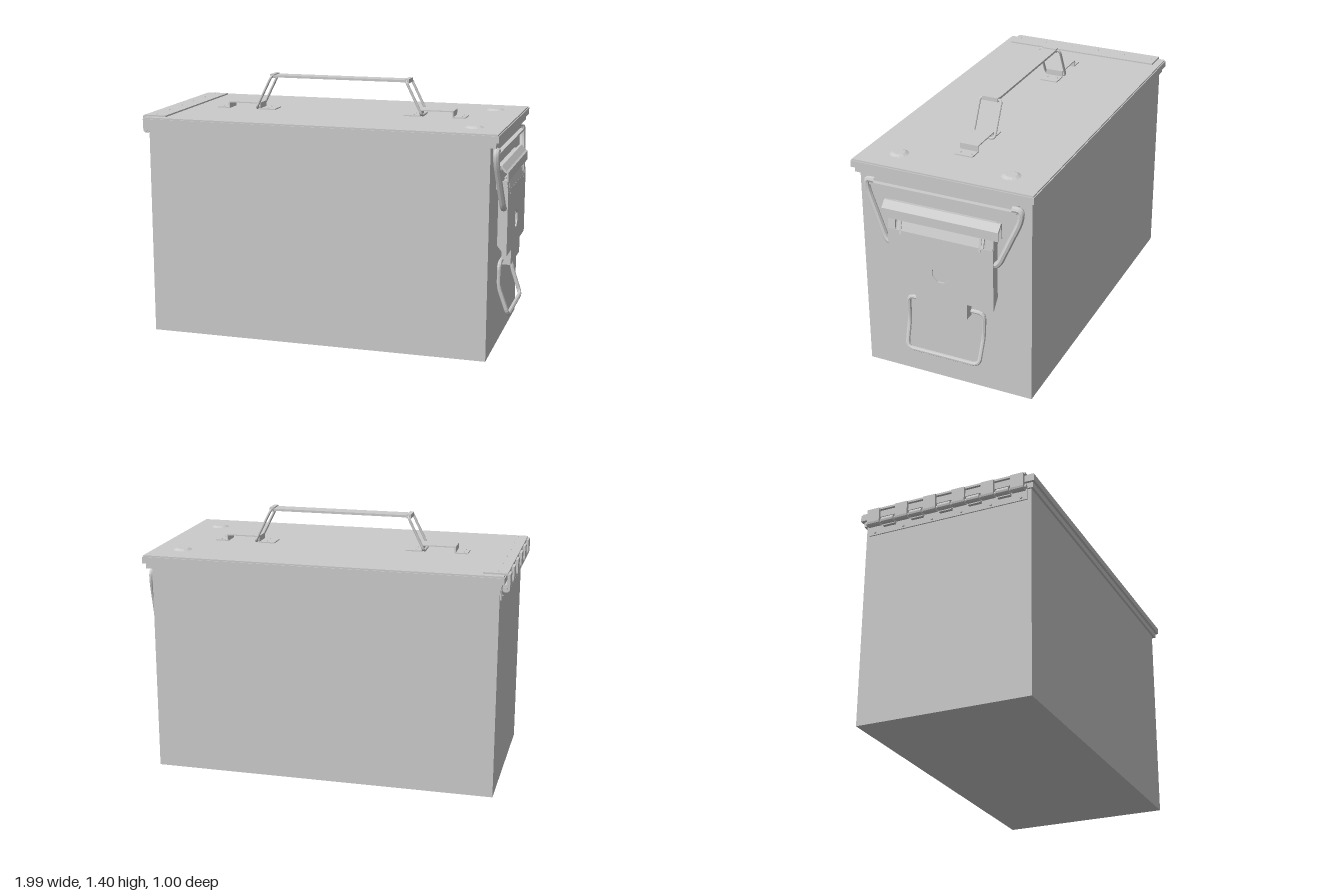
import * as THREE from 'three';

const metal = new THREE.MeshStandardMaterial({ color: 0xcccccc, flatShading: true, side: THREE.DoubleSide });
const V = (x, y, z) => new THREE.Vector3(x, y, z);

export function createModel() {
  const root = new THREE.Group();

  function add(name, geometry, parent = root) {
    const mesh = new THREE.Mesh(geometry, metal);
    mesh.name = name;
    parent.add(mesh);
    return mesh;
  }

  // box given by its limits on each axis
  function box(name, x0, x1, y0, y1, z0, z1, parent) {
    const g = new THREE.BoxGeometry(x1 - x0, y1 - y0, z1 - z0);
    g.translate((x0 + x1) / 2, (y0 + y1) / 2, (z0 + z1) / 2);
    return add(name, g, parent);
  }

  function polygon(points) {
    return new THREE.Shape(points.map(p => new THREE.Vector2(p[0], p[1])));
  }

  // x-y profile extruded across z, centred
  function across(name, points, width, parent) {
    const g = new THREE.ExtrudeGeometry(polygon(points), { depth: width, bevelEnabled: false });
    g.translate(0, 0, -width / 2);
    return add(name, g, parent);
  }

  // bent wire: straight runs with rounded corners
  function wire(name, pts, radius, corner, closed, parent) {
    const path = new THREE.CurvePath();
    const n = pts.length;
    const toward = (a, b) => a.clone().add(b.clone().sub(a).setLength(Math.min(corner, a.distanceTo(b) * 0.45)));
    let last = closed ? toward(pts[0], pts[1]) : pts[0];
    for (let i = 1; i < (closed ? n + 1 : n - 1); i++) {
      const p = pts[i % n], q = pts[(i + 1) % n];
      const a = toward(p, pts[i - 1]), b = toward(p, q);
      path.add(new THREE.LineCurve3(last, a));
      path.add(new THREE.QuadraticBezierCurve3(a, p, b));
      last = b;
    }
    if (!closed) path.add(new THREE.LineCurve3(last, pts[n - 1]));
    return add(name, new THREE.TubeGeometry(path, 110, radius, 8, closed), parent);
  }

  function rivet(x, y, z, axisX = false, parent = root) {
    const g = new THREE.CylinderGeometry(0.005, 0.008, 0.006, 8);
    if (axisX) g.rotateZ(Math.PI / 2);
    g.translate(x, y, z);
    return add('rivet', g, parent);
  }

  // can body
  box('body', -0.95, 0.915, 0, 1.15, -0.473, 0.473);

  // lid with stepped rim
  box('lidLip', -0.96, 0.945, 1.13, 1.165, -0.486, 0.486);
  box('lidRim', -0.975, 0.96, 1.16, 1.195, -0.5, 0.5);
  box('lidTop', -0.97, 0.955, 1.195, 1.203, -0.495, 0.495);
  for (const z of [-0.31, 0.31]) {
    const g = new THREE.CylinderGeometry(0.032, 0.052, 0.01, 12);
    g.translate(0.8, 1.207, z);
    add('lidDimple', g);
  }

  // hinge: top leaf, lower leaf, pin and alternating knuckles
  const hinge = new THREE.Group();
  hinge.name = 'hinge';
  root.add(hinge);
  box('hingeTopLeaf', -0.985, -0.86, 1.2, 1.211, -0.455, 0.455, hinge);
  box('hingeLowerLeaf', -0.957, -0.949, 1.07, 1.13, -0.455, 0.455, hinge);
  const pin = new THREE.CylinderGeometry(0.01, 0.01, 0.92, 8);
  pin.rotateX(Math.PI / 2).translate(-0.978, 1.13, 0);
  add('hingePin', pin, hinge);
  const count = 11, step = 0.91 / count;
  for (let i = 0; i < count; i++) {
    const z = -0.455 + (i + 0.5) * step, w = step * 0.43;
    const g = new THREE.CylinderGeometry(0.02, 0.02, w * 2, 12);
    g.rotateX(Math.PI / 2).translate(-0.978, 1.13, z);
    add('hingeKnuckle', g, hinge);
    if (i % 2 === 0) box('hingeTopStrap', -0.998, -0.982, 1.13, 1.205, z - w, z + w, hinge);
    else box('hingeLowerStrap', -0.975, -0.95, 1.105, 1.122, z - w, z + w, hinge);
  }
  for (let i = 0; i < 6; i++) {
    const z = -0.42 + i * 0.168;
    rivet(-0.93, 1.213, z, false, hinge);
    rivet(-0.959, 1.085, z, true, hinge);
  }

  // carrying handle, mirrored about its middle at x = -0.01
  const handle = new THREE.Group();
  handle.name = 'carryHandle';
  handle.position.x = -0.01;
  root.add(handle);
  box('handleGrip', -0.385, 0.385, 1.385, 1.397, -0.042, 0.042, handle);
  for (const s of [-1, 1]) {
    const profile = [
      [0.37, 1.203], [0.37, 1.209], [0.455, 1.209], [0.455, 1.241], [0.645, 1.241], [0.645, 1.209],
      [0.71, 1.209], [0.71, 1.203], [0.639, 1.203], [0.639, 1.235], [0.461, 1.235], [0.461, 1.203]
    ];
    across('handleBracket', profile.map(p => [p[0] * s, p[1]]), 0.1, handle);
    wire('handleLoop', [
      V(0.475 * s, 1.211, 0), V(0.475 * s, 1.211, 0.061), V(0.385 * s, 1.392, 0.061),
      V(0.385 * s, 1.392, -0.061), V(0.475 * s, 1.211, -0.061)
    ], 0.007, 0.022, true, handle);
    box('gripEnd', 0.385 * s - 0.012, 0.385 * s + 0.012, 1.381, 1.403, -0.044, 0.044, handle);
    for (const z of [-0.03, 0.03]) for (const x of [0.42, 0.685]) rivet(x * s, 1.211, z, false, handle);
  }

  // latch on the +x end
  const latch = new THREE.Group();
  latch.name = 'latch';
  root.add(latch);

  // upper bail: flat bar on top and sloping arms
  box('bailBar', 0.918, 0.95, 1.078, 1.09, -0.405, 0.405, latch);
  box('bailBarBack', 0.915, 0.925, 1.085, 1.12, -0.405, 0.405, latch);
  for (const s of [-1, 1]) {
    wire('bailArm', [
      V(0.936, 1.1, 0.38 * s), V(0.936, 1.1, 0.428 * s), V(0.938, 1.04, 0.422 * s),
      V(0.96, 0.785, 0.312 * s), V(0.96, 0.782, 0.27 * s)
    ], 0.017, 0.04, false, latch);
  }

  // lever plate with a round hole and a narrow lower tab
  const face = polygon([
    [-0.293, 0.525], [-0.145, 0.525], [-0.145, 0.44], [0.145, 0.44], [0.145, 0.525], [0.293, 0.525],
    [0.293, 0.87], [-0.293, 0.87]
  ]);
  const hole = new THREE.Path();
  for (let i = 0; i < 8; i++) {
    const a = (i + 0.5) * Math.PI / 4, x = Math.cos(a) * 0.05, y = 0.665 + Math.sin(a) * 0.05;
    i ? hole.lineTo(x, y) : hole.moveTo(x, y);
  }
  hole.closePath();
  face.holes.push(hole);
  const plate = new THREE.ExtrudeGeometry(face, { depth: 0.008, bevelEnabled: false });
  plate.rotateY(Math.PI / 2).translate(0.973, 0, 0);
  add('leverPlate', plate, latch);
  across('leverBend', [[0.973, 0.868], [0.981, 0.868], [0.96, 0.935], [0.95, 0.935]], 0.48, latch);
  box('leverTabFloor', 0.93, 0.981, 0.44, 0.448, -0.145, 0.145, latch);
  for (const s of [-1, 1]) {
    // side flanges and shoulders
    const flange = across('leverFlange', [[0.975, 0.525], [0.975, 0.925], [0.93, 0.925], [0.93, 0.58]], 0.008, latch);
    flange.position.z = 0.289 * s;
    const ear = across('leverEar', [[0.973, 0.865], [0.981, 0.865], [0.975, 0.93], [0.955, 0.93]], 0.04, latch);
    ear.position.z = 0.272 * s;
    const rib = across('leverRib', [[0.975, 0.85], [0.984, 0.85], [0.97, 0.93], [0.95, 0.93]], 0.012, latch);
    rib.position.z = 0.222 * s;
    const tabSide = across('leverTabSide', [[0.975, 0.44], [0.975, 0.53], [0.93, 0.53], [0.93, 0.44]], 0.008, latch);
    tabSide.position.z = 0.141 * s;
  }

  // rolled hook rail at the top of the lever
  across('hookRail', [
    [0.935, 0.925], [0.935, 1.01], [0.95, 1.012], [0.975, 0.985], [0.985, 0.98], [0.985, 0.93],
    [0.978, 0.93], [0.978, 0.972], [0.965, 0.978], [0.947, 1.0], [0.943, 0.925]
  ], 0.645, latch);
  box('latchMount', 0.913, 0.937, 0.88, 1.0, -0.29, 0.29, latch);

  // lower pull ring, curving outward
  wire('pullRing', [
    V(0.932, 0.464, 0), V(0.932, 0.464, 0.217), V(0.932, 0.33, 0.214), V(0.984, 0.18, 0.208),
    V(0.984, 0.18, -0.208), V(0.932, 0.33, -0.214), V(0.932, 0.464, -0.217)
  ], 0.0115, 0.035, true, latch);

  return root;
}
